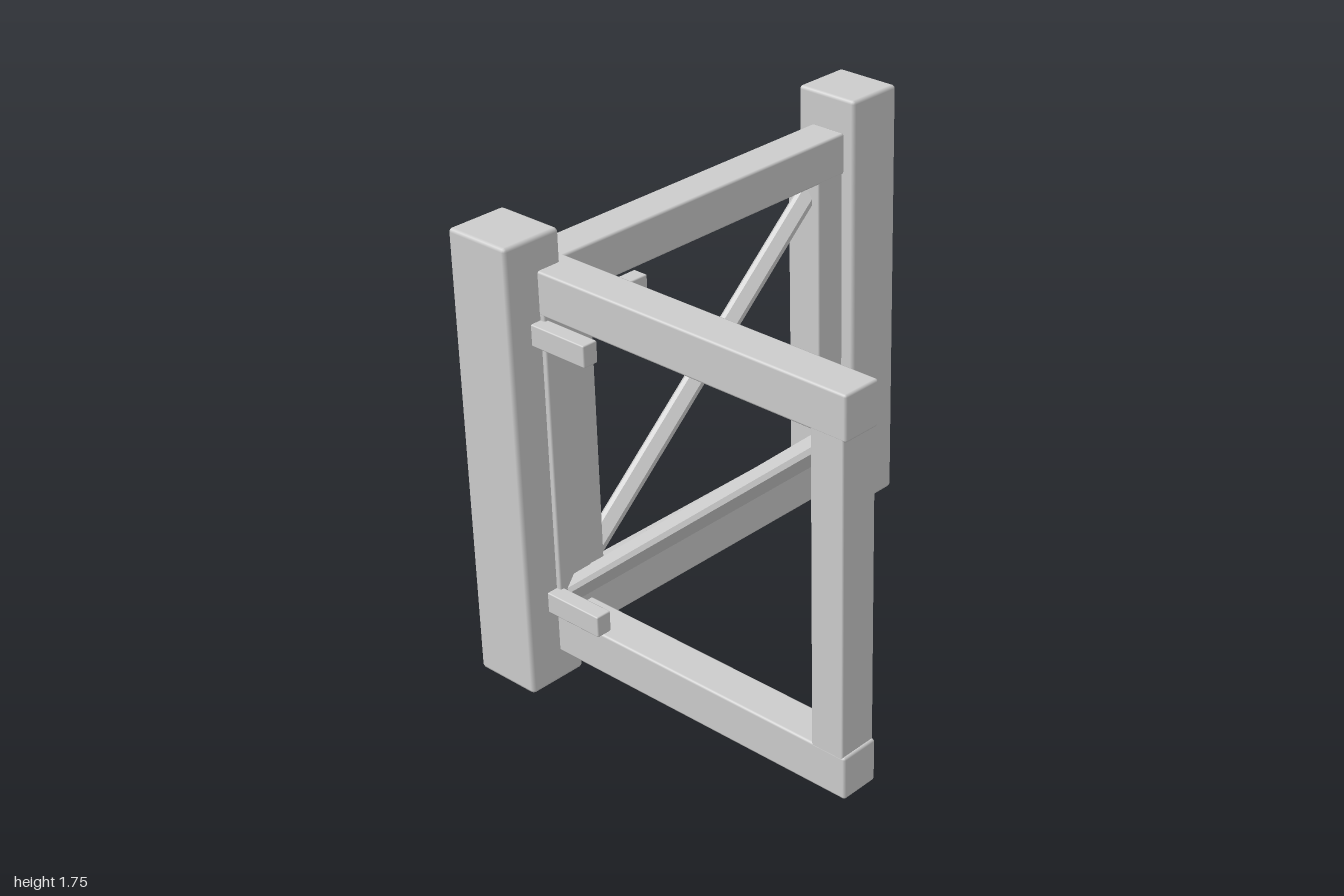
import * as THREE from 'three';
import { RoundedBoxGeometry } from 'three/addons/geometries/RoundedBoxGeometry.js';

const grey = new THREE.MeshStandardMaterial({ color: 0xcccccc });
grey.name = 'grey';

// Box with softened edges, given by its [min, max] range on each axis
function block(name, [x0, x1], [y0, y1], [z0, z1], radius) {
  const geometry = new RoundedBoxGeometry(x1 - x0, y1 - y0, z1 - z0, 1, radius);
  const mesh = new THREE.Mesh(geometry, grey);
  mesh.position.set((x0 + x1) / 2, (y0 + y1) / 2, (z0 + z1) / 2);
  mesh.name = name;
  return mesh;
}

// Square bar with chamfered edges, turned so that one edge faces forward
function diagonalBrace(from, to) {
  const h = 0.0375, c = 0.0135;
  const section = new THREE.Shape([
    [h, h - c], [h - c, h], [c - h, h], [-h, h - c],
    [-h, c - h], [c - h, -h], [h - c, -h], [h, c - h],
  ].map(([x, y]) => new THREE.Vector2(x, y)));
  const length = from.distanceTo(to);
  const geometry = new THREE.ExtrudeGeometry(section, { depth: length, bevelEnabled: false });
  geometry.rotateZ(Math.PI / 4);
  const mesh = new THREE.Mesh(geometry, grey);
  mesh.position.copy(from);
  mesh.lookAt(to);
  mesh.name = 'diagonalBrace';
  return mesh;
}

// One gate leaf: hinge side at x = 0, extending along +x, hinges on the +z face
function gateLeaf(name) {
  const leaf = new THREE.Group();
  leaf.name = name;
  const t = 0.0775;
  leaf.add(
    block('bottomRail', [0, 1.475], [0.12, 0.285], [-t, t], 0.009),
    block('topRail', [0, 1.475], [1.46, 1.625], [-t, t], 0.009),
    block('hingeStile', [0.01, 0.145], [0.27, 1.475], [-t + 0.001, t - 0.001], 0.006),
    block('latchStile', [1.33, 1.465], [0.27, 1.475], [-t + 0.001, t - 0.001], 0.006),
  );
  // Brace rises from the hinge side and ends inside both stiles
  const slope = 1.017 / 1.185;
  leaf.add(diagonalBrace(
    new THREE.Vector3(0.105, 0.366 - 0.04 * slope, 0),
    new THREE.Vector3(1.37, 1.383 + 0.04 * slope, 0),
  ));
  // Strap hinges
  for (const y of [0.345, 1.403]) {
    leaf.add(block('strapHinge', [0, 0.375], [y - 0.041, y + 0.041], [t - 0.02, t + 0.043], 0.005));
  }
  return leaf;
}

export function createModel() {
  const model = new THREE.Group();
  model.name = 'gateway';

  // Two posts
  for (const [name, x] of [['rightPost', -0.877], ['leftPost', 0.877]]) {
    model.add(block(name, [x - 0.123, x + 0.123], [0, 1.75], [-0.815, -0.54], 0.014));
  }

  // Closed leaf spans the posts
  const closedLeaf = gateLeaf('closedGate');
  closedLeaf.position.set(-0.74, 0, -0.6475);

  // Open leaf swings forward from the same post
  const openLeaf = gateLeaf('openGate');
  openLeaf.position.set(-0.7825, 0, -0.665);
  openLeaf.rotation.y = -Math.PI / 2;

  model.add(closedLeaf, openLeaf);
  return model;
}
